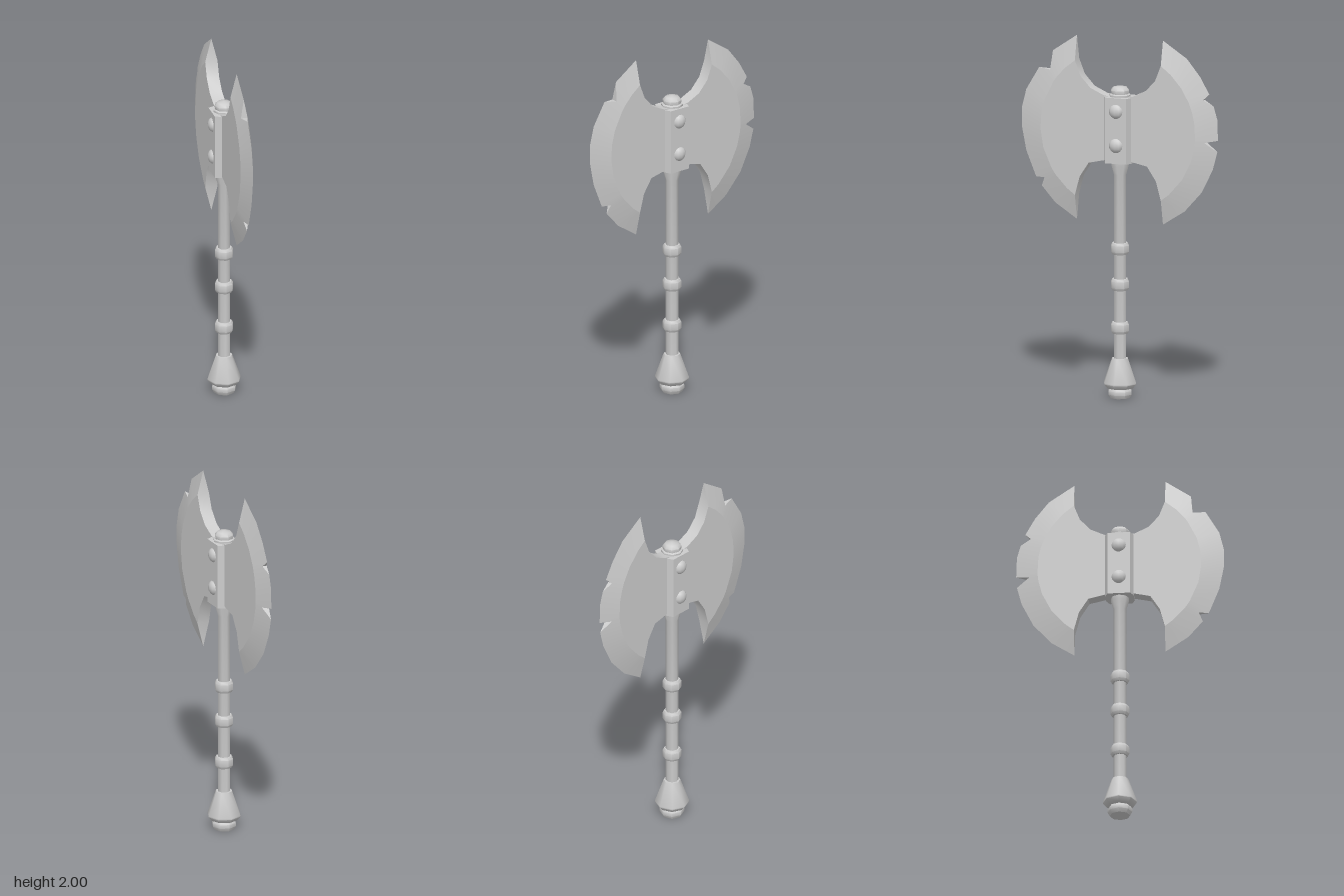
import * as THREE from 'three';
import { toCreasedNormals, mergeGeometries } from 'three/addons/utils/BufferGeometryUtils.js';

const material = new THREE.MeshStandardMaterial({ color: 0xcccccc });
const CENTRE_Y = 1.49, EDGE_R = 0.57, BEVEL_R = 0.45, HALF = 0.035;

function addMesh(parent, name, geometry) {
  const mesh = new THREE.Mesh(geometry, material);
  mesh.name = name;
  parent.add(mesh);
  return mesh;
}

// Eight-sided turned part from [radius, y] pairs listed upward
function turned(profile) {
  const points = profile.map(([r, y]) => new THREE.Vector2(r, y));
  return toCreasedNormals(new THREE.LatheGeometry(points, 8), 0.85);
}

// Half thickness: flat body, tapering to nothing at the cutting edge
function halfThickness(p) {
  const r = Math.hypot(p.x, p.y - CENTRE_Y);
  return r > 0.555 ? 0 : HALF * Math.min(1, (EDGE_R - r) / (EDGE_R - BEVEL_R));
}

function trianglesToGeometry(tris, crease) {
  const g = new THREE.BufferGeometry();
  g.setAttribute('position', new THREE.Float32BufferAttribute(tris.flat(2), 3));
  return toCreasedNormals(g, crease);
}

// Blade from its cutting edge and its inner curve, both [z, y] from the top down
function bladeGeometry(edge, inner, side) {
  const vec = ([z, y]) => new THREE.Vector2(z, y);
  const outer = edge.map(vec), back = inner.map(vec);
  const bevel = outer.map((p) => {
    const limit = 0.982;
    const a = THREE.MathUtils.clamp(Math.atan2(p.y - CENTRE_Y, p.x), -limit, limit);
    return new THREE.Vector2(BEVEL_R * Math.cos(a), CENTRE_Y + BEVEL_R * Math.sin(a));
  });
  const at = (p, s) => [s * halfThickness(p), p.y, side * p.x];
  const faces = [], walls = [];

  // Adds a triangle to both faces, each turned outward
  const addFace = (a, b, c) => {
    const area = ((b.x - a.x) * (c.y - a.y) - (b.y - a.y) * (c.x - a.x)) * side;
    if (Math.abs(area) < 1e-8) return;
    const [p, q, r] = area > 0 ? [a, b, c] : [a, c, b];
    faces.push([at(p, -1), at(q, -1), at(r, -1)], [at(p, 1), at(r, 1), at(q, 1)]);
  };

  // Ground bevel
  for (let i = 0; i < outer.length - 1; i++) {
    addFace(outer[i], bevel[i], bevel[i + 1]);
    addFace(outer[i], bevel[i + 1], outer[i + 1]);
  }

  // Flat body
  const body = [...bevel, ...back.slice().reverse()];
  for (const [a, b, c] of THREE.ShapeUtils.triangulateShape(body, [])) addFace(body[a], body[b], body[c]);

  // Rim: inner curves and the walls of the chips
  const loop = [...outer, bevel[bevel.length - 1], ...back.slice().reverse(), bevel[0]];
  if (THREE.ShapeUtils.isClockWise(loop) === (side > 0)) loop.reverse();
  loop.forEach((a, i) => {
    const b = loop[(i + 1) % loop.length];
    if (halfThickness(a) > 0) walls.push([at(a, 1), at(b, -1), at(a, -1)]);
    if (halfThickness(b) > 0) walls.push([at(a, 1), at(b, 1), at(b, -1)]);
  });
  return mergeGeometries([trianglesToGeometry(faces, 0.2), trianglesToGeometry(walls, 0.7)]);
}

export function createModel() {
  const axe = new THREE.Group();
  axe.name = 'doubleAxe';

  // Shaft with a flared neck below the head
  addMesh(axe, 'shaft', turned([[0.035, 0.2], [0.035, 1.24], [0.05, 1.29], [0.05, 1.33]]));

  // Pommel
  addMesh(axe, 'pommel', turned([
    [0, 0], [0.056, 0], [0.068, 0.02], [0.068, 0.04], [0.06, 0.052], [0.074, 0.055],
    [0.094, 0.078], [0.094, 0.085], [0.046, 0.22], [0, 0.22],
  ]));

  // Grip rings
  for (const y of [0.39, 0.63, 0.83]) {
    addMesh(axe, 'gripRing', turned([
      [0.034, y - 0.032], [0.044, y - 0.032], [0.052, y - 0.018],
      [0.052, y + 0.018], [0.044, y + 0.032], [0.034, y + 0.032],
    ]));
  }

  // Socket block that holds both blades
  const socketShape = new THREE.Shape([
    [0.07, -0.062], [0.07, 0.062], [0.034, 0.078], [-0.034, 0.078],
    [-0.07, 0.062], [-0.07, -0.062], [-0.034, -0.078], [0.034, -0.078],
  ].map(([x, z]) => new THREE.Vector2(x, z)));
  const socket = new THREE.ExtrudeGeometry(socketShape, { depth: 0.365, bevelEnabled: false });
  socket.rotateX(-Math.PI / 2).translate(0, 1.31, 0);
  addMesh(axe, 'socket', socket);

  // Cap on top of the shaft
  addMesh(axe, 'topCap', turned([
    [0.06, 1.66], [0.06, 1.685], [0.05, 1.69], [0.053, 1.71], [0.038, 1.727], [0, 1.735],
  ]));

  // Domed rivets on both sides of the socket
  for (const s of [-1, 1]) {
    for (const y of [1.41, 1.6]) {
      const rivet = addMesh(axe, 'rivet', new THREE.SphereGeometry(0.042, 10, 8));
      rivet.scale.x = 0.75;
      rivet.position.set(s * 0.06, y, 0);
    }
  }

  // Blades, each with its own chipped cutting edge
  const inner = [
    [0.217, 1.78], [0.16, 1.717], [0.085, 1.682], [0.03, 1.672],
    [0.03, 1.318], [0.07, 1.322], [0.17, 1.3], [0.222, 1.22],
  ];
  const frontEdge = [
    [0.25, 2], [0.39, 1.905], [0.4, 1.8], [0.47, 1.807], [0.545, 1.68], [0.57, 1.58], [0.57, 1.47],
    [0.545, 1.34], [0.488, 1.198], [0.434, 1.198], [0.455, 1.15], [0.376, 1.06], [0.25, 0.977],
  ];
  const backEdge = [
    [0.25, 2], [0.39, 1.907], [0.466, 1.812], [0.52, 1.717], [0.487, 1.685], [0.545, 1.653], [0.566, 1.58],
    [0.57, 1.463], [0.497, 1.45], [0.566, 1.4], [0.54, 1.3], [0.476, 1.17], [0.376, 1.058], [0.25, 0.977],
  ];
  addMesh(axe, 'frontBlade', bladeGeometry(frontEdge, inner, 1));
  addMesh(axe, 'backBlade', bladeGeometry(backEdge, inner, -1));
  return axe;
}
